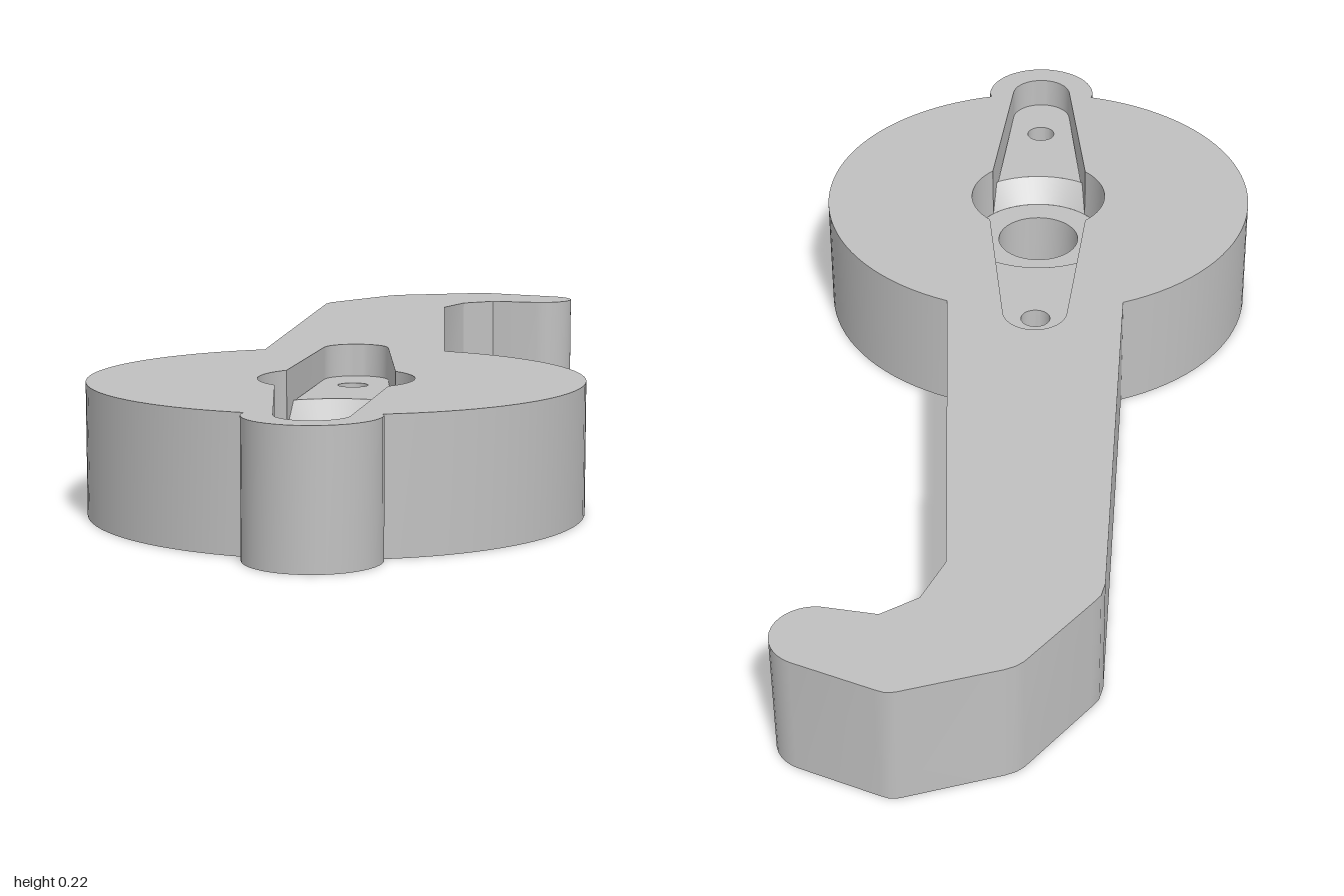
import * as THREE from 'three';
import { toCreasedNormals } from 'three/addons/utils/BufferGeometryUtils.js';

const TOP = 0.225, SLOT_Y = 0.165, HUB_Y = 0.123, SCREW_Y = 0.09;
const HUB_Z = 0.47; // centre of the round hub
const HUB = -HUB_Z; // same centre in plan coordinates (plan y = -z)
const PI = Math.PI;

// Points along an arc in plan
function arc(cx, cy, r, a0, a1, n) {
  return Array.from({ length: n + 1 }, (_, i) => {
    const a = a0 + (a1 - a0) * i / n;
    return new THREE.Vector2(cx + r * Math.cos(a), cy + r * Math.sin(a));
  });
}
const circle = (cx, cy, r, n) => arc(cx, cy, r, 0, 2 * PI, n).slice(0, n);
const points = list => list.map(([x, y]) => new THREE.Vector2(x, y));

// Horizontal face with optional holes
function face(outline, holes, y, down = false) {
  const shape = new THREE.Shape(outline);
  shape.holes = holes.map(h => new THREE.Path(h));
  const geo = new THREE.ShapeGeometry(shape);
  if (down) {
    geo.index.array.reverse();
    geo.computeVertexNormals();
  }
  return geo.rotateX(-PI / 2).translate(0, y, 0);
}

// Upright wall along a closed outline; inward walls line a recess
function wall(outline, y0, y1, inward = false) {
  const pts = inward ? [...outline].reverse() : outline;
  const pos = [];
  pts.forEach((a, i) => {
    const b = pts[(i + 1) % pts.length];
    const A = [a.x, y0, -a.y], B = [b.x, y0, -b.y];
    const C = [b.x, y1, -b.y], D = [a.x, y1, -a.y];
    pos.push(...A, ...B, ...C, ...A, ...C, ...D);
  });
  const geo = new THREE.BufferGeometry();
  geo.setAttribute('position', new THREE.Float32BufferAttribute(pos, 3));
  return toCreasedNormals(geo, 0.5);
}

export function createModel() {
  const group = new THREE.Group();
  const grey = new THREE.MeshStandardMaterial({ color: 0xc0c0c0, side: THREE.DoubleSide });
  grey.name = 'light grey';
  const add = (name, geo) => {
    const mesh = new THREE.Mesh(geo, grey);
    mesh.name = name;
    group.add(mesh);
    return mesh;
  };

  // Plan: round hub, tapering arm with a hooked end, small nose at the front
  const outline = [
    ...arc(0, HUB, 0.42, -1.315, 1.166, 40),
    ...points([[0.132, 0.685], [0.17, 0.775], [0.233, 0.817]]),
    ...arc(0.333, 0.87, 0.07, -1.65, 1.1, 16),
    ...points([[0.228, 0.993], [0.212, 0.999], [0.196, 0.998], [0.03, 0.944], [0.013, 0.936],
      [0, 0.925], [-0.106, 0.785], [-0.12, 0.765], [-0.127, 0.735]]),
    ...arc(0, HUB, 0.42, PI - 1.166, PI + 1.315, 40),
    ...arc(0, HUB - 0.42, 0.11, PI - 0.13, 2 * PI + 0.13, 24).slice(1, -1),
  ];

  // Recess: round centre with a tapered slot on both sides
  const pocket = [
    ...arc(0, HUB, 0.133, -PI / 4, PI / 4, 16),
    ...arc(0, HUB + 0.42, 0.06, 0.1, PI - 0.1, 20),
    ...arc(0, HUB, 0.133, PI * 0.75, PI * 1.25, 16),
    ...arc(0, HUB - 0.42, 0.06, PI + 0.1, 2 * PI - 0.1, 20),
  ];
  const bore = circle(0, HUB, 0.08, 40);

  add('outerWall', wall(outline, 0, TOP));
  add('topFace', face(outline, [pocket], TOP));
  add('bottomFace', face(outline, [bore], 0, true));
  add('recessWall', wall(pocket, HUB_Y, TOP, true));
  add('hubFloor', face(circle(0, HUB, 0.133, 48), [bore], HUB_Y));
  add('boreWall', wall(bore, 0, HUB_Y, true));

  for (const s of [1, -1]) {
    const side = s > 0 ? 'back' : 'front';
    const turn = s > 0 ? 0 : PI;
    // Slot floor with a blind screw hole
    const floor = [
      ...arc(0, HUB + s * 0.42, 0.06, turn + 0.1, turn + PI - 0.1, 20),
      ...arc(0, HUB, 0.175, turn + PI / 2 + 0.51, turn + PI / 2 - 0.51, 14),
    ];
    const screw = circle(0, HUB + s * 0.353, 0.028, 20);
    add(side + 'SlotFloor', face(floor, [screw], SLOT_Y));
    add(side + 'ScrewHoleWall', wall(screw, SCREW_Y, SLOT_Y, true));
    add(side + 'ScrewHoleFloor', face(screw, [], SCREW_Y));

    // Conical ramp from the slot down to the hub floor
    const ramp = new THREE.CylinderGeometry(0.175, 0.133, SLOT_Y - HUB_Y, 20, 1, true,
      (s > 0 ? PI : 0) - 0.8, 1.6);
    add(side + 'Ramp', ramp.translate(0, (SLOT_Y + HUB_Y) / 2, HUB_Z));
  }
  return group;
}
